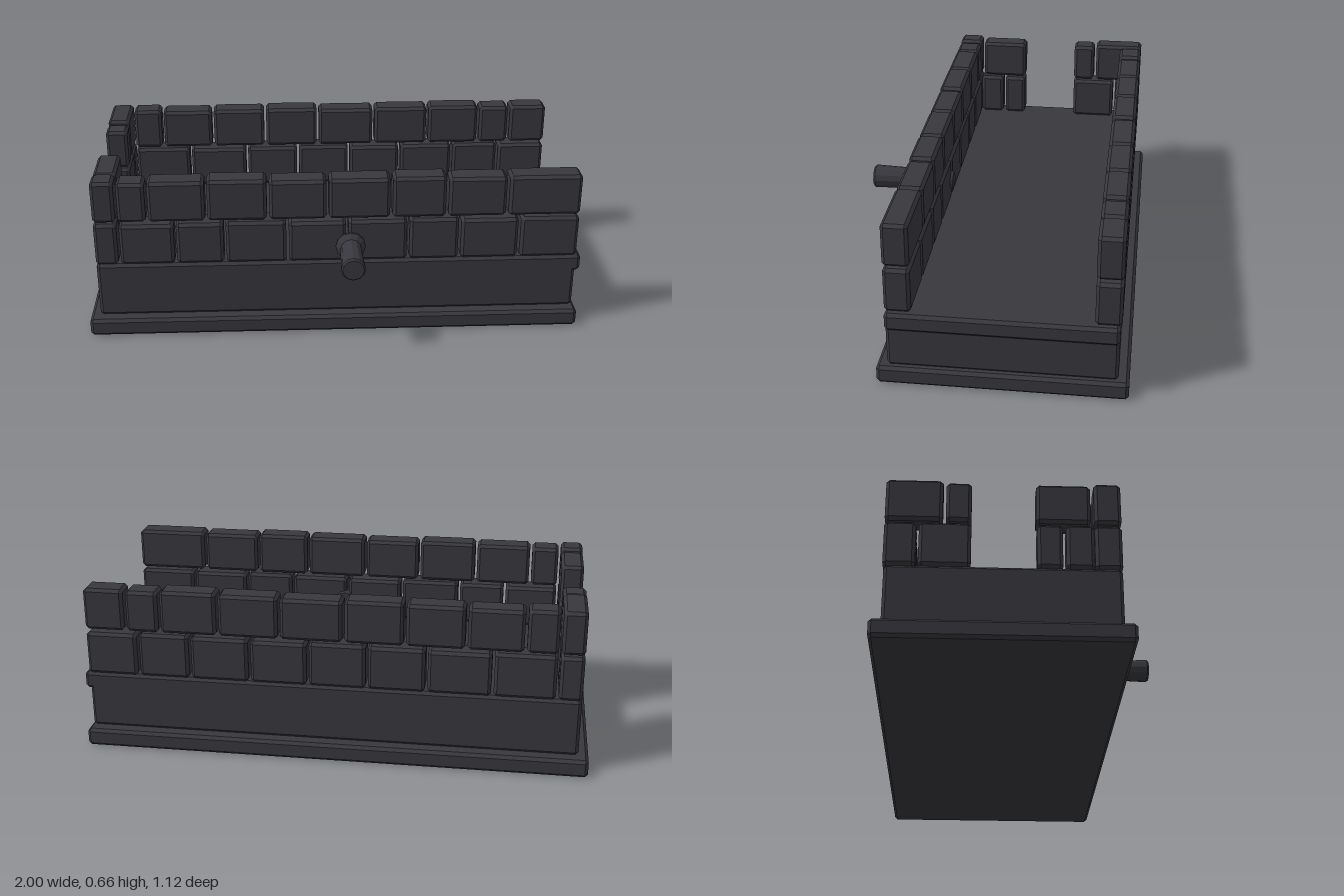
import * as THREE from 'three';
import { ConvexGeometry } from 'three/addons/geometries/ConvexGeometry.js';

const stone = new THREE.MeshStandardMaterial({ color: 0x38373d });
stone.name = 'darkStone';
stone.flatShading = true;

// Box with chamfered edges and corners, given by its limits
function block(parent, name, [x0, x1], [y0, y1], [z0, z1], bevel = 0.012) {
  const half = [(x1 - x0) / 2, (y1 - y0) / 2, (z1 - z0) / 2];
  const points = [];
  for (const sx of [-1, 1]) for (const sy of [-1, 1]) for (const sz of [-1, 1]) {
    const signs = [sx, sy, sz];
    // each corner becomes three points, one on every adjoining face
    for (let face = 0; face < 3; face++) {
      points.push(new THREE.Vector3(...half.map((h, i) => signs[i] * (i === face ? h : h - bevel))));
    }
  }
  const mesh = new THREE.Mesh(new ConvexGeometry(points), stone);
  mesh.name = name;
  mesh.position.set((x0 + x1) / 2, (y0 + y1) / 2, (z0 + z1) / 2);
  parent.add(mesh);
}

// Row of bricks along x, split at the given joints
function course(parent, name, joints, [y0, y1], z) {
  const row = new THREE.Group();
  row.name = name;
  for (let i = 0; i < joints.length - 1; i++) {
    const top = y1 - [0, 0.006, 0.003][i % 3];
    block(row, 'brick', [joints[i] + 0.005, joints[i + 1] - 0.005], [y0, top], z);
  }
  parent.add(row);
}

export function createModel() {
  const model = new THREE.Group();
  model.name = 'brickTrough';

  // Stepped foundation
  block(model, 'basePlate', [-1, 0.99], [0, 0.072], [-0.56, 0.37]);
  block(model, 'body', [-0.96, 0.975], [0.074, 0.305], [-0.52, 0.33]);
  block(model, 'endLip', [0.94, 0.995], [0.235, 0.306], [-0.52, 0.33]);

  // Long front and back walls, two courses each
  const lower = [0.305, 0.484], upper = [0.492, 0.664];
  const frontZ = [0.233, 0.332], backZ = [-0.525, -0.428];
  course(model, 'frontLowerCourse',
    [-0.965, -0.865, -0.64, -0.443, -0.193, 0.045, 0.29, 0.497, 0.737, 0.98], lower, frontZ);
  course(model, 'frontUpperCourse',
    [-0.965, -0.865, -0.745, -0.512, -0.268, -0.033, 0.22, 0.442, 0.682, 0.98], upper, frontZ);
  course(model, 'backLowerCourse',
    [-0.865, -0.62, -0.367, -0.137, 0.093, 0.323, 0.56, 0.768, 0.98], lower, backZ);
  course(model, 'backUpperCourse',
    [-0.865, -0.737, -0.515, -0.282, -0.047, 0.203, 0.445, 0.675, 0.812, 0.98], upper, backZ);

  // End wall with a gap in the middle
  const endX = [-0.96, -0.87];
  const endWall = new THREE.Group();
  endWall.name = 'endWall';
  for (const z of [[0.13, 0.232], [0.025, 0.118], [-0.4, -0.212], [-0.525, -0.41]]) {
    block(endWall, 'lowerEndBrick', endX, lower, z);
  }
  for (const z of [[0.022, 0.22], [-0.305, -0.212], [-0.525, -0.316]]) {
    block(endWall, 'upperEndBrick', endX, [0.492, z[0] < -0.4 ? 0.664 : 0.655], z);
  }
  model.add(endWall);

  // Spout through the front wall: turned profile of radius and distance
  const profile = [[0, 0.222], [0.034, 0.222], [0.04, 0.235], [0.04, 0.325], [0.046, 0.338], [0.06, 0.352],
    [0.06, 0.362], [0.042, 0.383], [0.048, 0.552], [0.042, 0.56], [0, 0.56]];
  const spout = new THREE.Mesh(
    new THREE.LatheGeometry(profile.map(([r, d]) => new THREE.Vector2(r, d)), 12), stone);
  spout.name = 'spout';
  spout.rotation.x = Math.PI / 2;
  spout.position.set(0.057, 0.384, 0);
  model.add(spout);

  return model;
}
